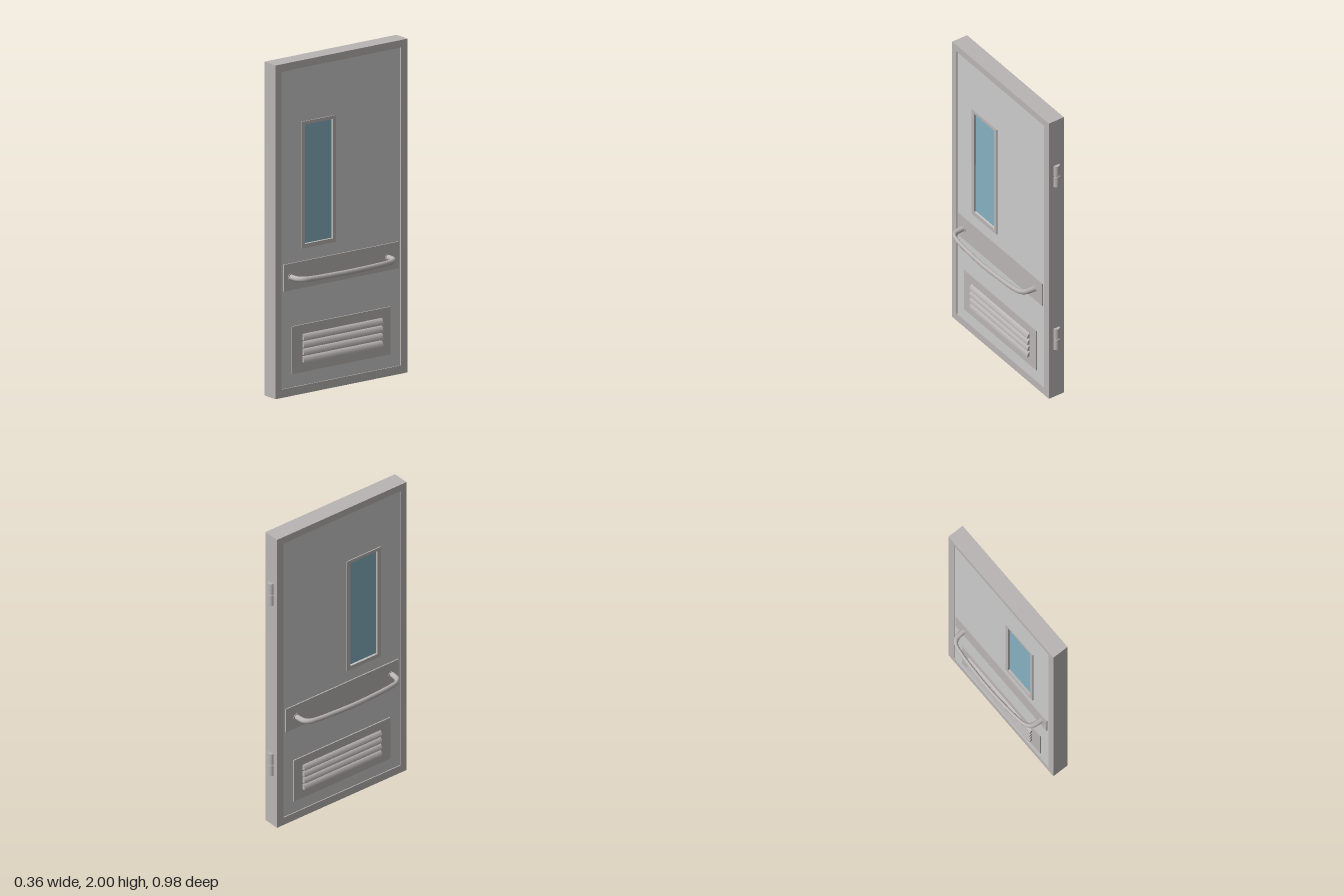
import * as THREE from 'three';

const mat = (color) => new THREE.MeshStandardMaterial({ color });

// Rectangular outline given as z range and y range
function rect(Type, z0, z1, y0, y1) {
  const p = new Type();
  p.moveTo(z0, y0);
  p.lineTo(z1, y0);
  p.lineTo(z1, y1);
  p.lineTo(z0, y1);
  p.closePath();
  return p;
}

// Slab in the door plane, centred on x = 0, with an optional rectangular hole
function slab(outer, hole, thickness) {
  const shape = rect(THREE.Shape, ...outer);
  if (hole) shape.holes.push(rect(THREE.Path, ...hole));
  const g = new THREE.ExtrudeGeometry(shape, { depth: thickness, bevelEnabled: false });
  g.translate(0, 0, -thickness / 2);
  g.rotateY(-Math.PI / 2);
  return g;
}

export function createModel() {
  const group = new THREE.Group();
  const grey = mat(0xcccccc);
  const metal = mat(0xb9b5b4);
  const glass = mat(0x86b0c1);

  function add(name, geometry, material, parent = group) {
    const mesh = new THREE.Mesh(geometry, material);
    mesh.name = name;
    parent.add(mesh);
    return mesh;
  }

  // Surrounding frame, recessed leaf and window
  const opening = [-0.42, 0.445, 0.05, 1.955];
  const windowOuter = [0.05, 0.3, 0.87, 1.63];
  const windowInner = [0.073, 0.275, 0.895, 1.61];
  add('frame', slab([-0.47, 0.49, 0, 2], opening, 0.106), metal);
  add('leaf', slab(opening, windowInner, 0.094), grey);
  add('windowTrim', slab(windowOuter, windowInner, 0.106), metal);
  add('windowGlass', slab(windowInner, null, 0.076), glass);

  // Handle plate and louvre plate show on both faces
  add('handlePlate', slab([-0.405, 0.43, 0.635, 0.795], null, 0.108), metal);
  add('louvrePlate', slab([-0.345, 0.37, 0.13, 0.415], null, 0.108), metal);

  // Bowed handle: flattened tube, so the path is widened before squashing in x
  const squash = 0.66;
  const half = [[0.04, 0.352], [0.085, 0.351], [0.118, 0.343], [0.142, 0.315],
    [0.153, 0.26], [0.162, 0.15]];
  const pathPoints = [...half, [0.1675, 0], ...half.map(([x, z]) => [x, -z]).reverse()]
    .map(([x, z]) => new THREE.Vector3(x / squash, 0.713, z + 0.026));
  const handleGeometry = new THREE.TubeGeometry(
    new THREE.CatmullRomCurve3(pathPoints), 72, 0.0165, 14);
  handleGeometry.scale(squash, 1, 1);

  // Louvre blade profile: flat underside, rounded top
  const blade = new THREE.Shape();
  blade.moveTo(0.05, 0);
  blade.lineTo(0.071, 0);
  blade.bezierCurveTo(0.071, 0.018, 0.064, 0.034, 0.05, 0.036);
  blade.closePath();
  const bladeGeometry = new THREE.ExtrudeGeometry(blade, {
    depth: 0.575, bevelEnabled: false, curveSegments: 8,
  });
  bladeGeometry.translate(0, 0, -0.28);

  // One set of fittings per face; the second set is turned and shifted in z
  for (const side of [1, -1]) {
    const fittings = new THREE.Group();
    fittings.name = side > 0 ? 'leftFittings' : 'rightFittings';

    const handle = new THREE.Group();
    handle.name = 'handle';
    add('handleBar', handleGeometry, metal, handle);
    for (const z of [-0.326, 0.378]) {
      const collar = add('handleCollar',
        new THREE.CylinderGeometry(0.022, 0.022, 0.008, 20), metal, handle);
      collar.rotation.z = Math.PI / 2;
      collar.position.set(0.054, 0.713, z);
    }
    if (side < 0) {
      handle.rotation.y = Math.PI;
      handle.position.z = 0.052;
    }
    fittings.add(handle);

    for (let i = 0; i < 4; i++) {
      const slat = add('louvreBlade', bladeGeometry, metal, fittings);
      slat.position.y = 0.19 + i * 0.0447;
      if (side < 0) {
        slat.rotation.y = Math.PI;
        slat.position.z = 0.015;
      }
    }
    group.add(fittings);
  }

  // Two hinges, each a pair of knuckles half sunk in the back edge
  for (const y of [0.42, 1.602]) {
    const hinge = new THREE.Group();
    hinge.name = 'hinge';
    for (const dy of [-0.039, 0.039]) {
      const knuckle = add('hingeKnuckle',
        new THREE.CylinderGeometry(0.02, 0.02, 0.072, 20), metal, hinge);
      knuckle.position.set(0, y + dy, -0.47);
    }
    add('hingePin', new THREE.CylinderGeometry(0.015, 0.015, 0.14, 16), metal, hinge)
      .position.set(0, y, -0.47);
    group.add(hinge);
  }

  return group;
}
